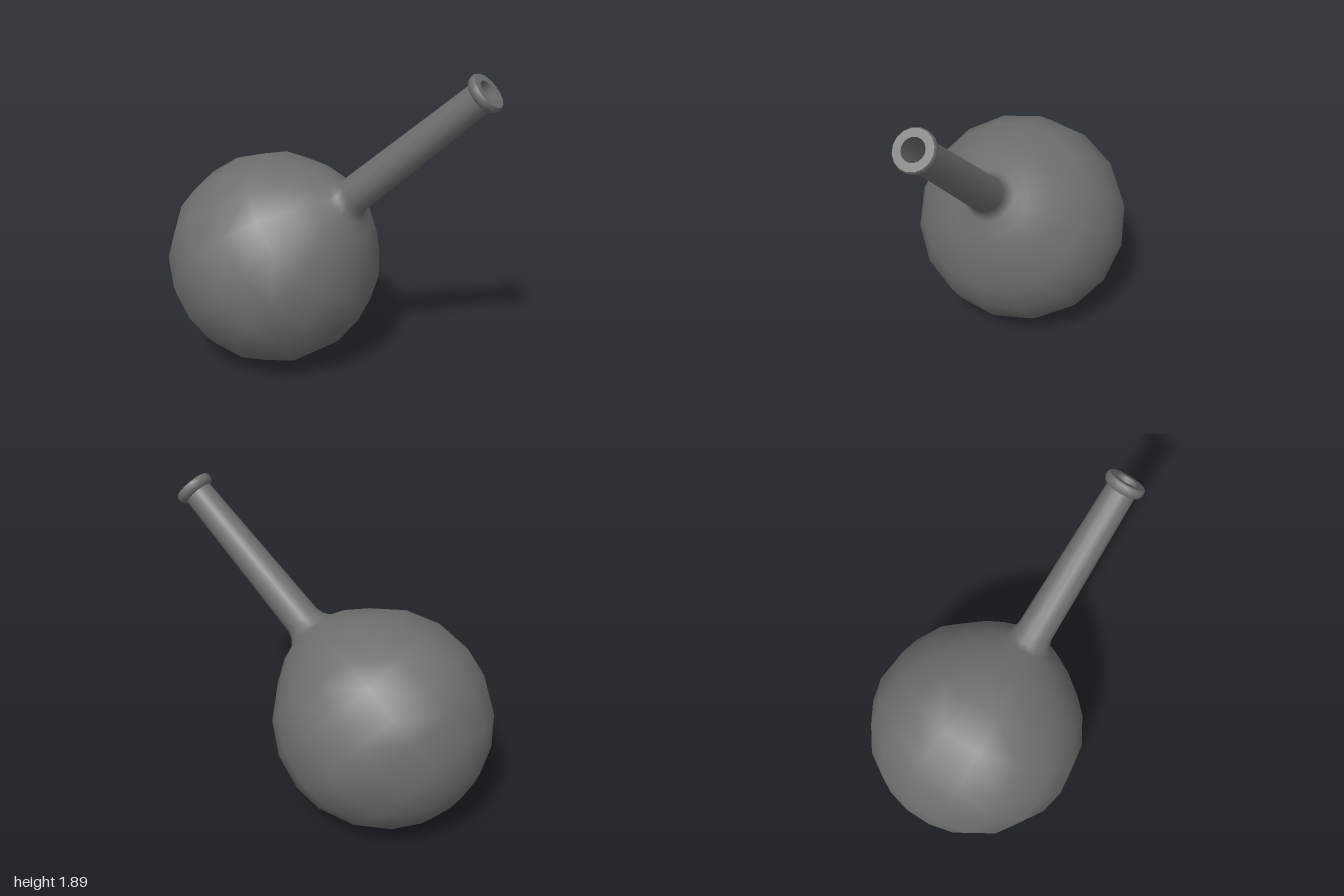
import * as THREE from 'three';

const SIDES = 16;

export function createModel() {
  const model = new THREE.Group();
  const flask = new THREE.Group();
  flask.name = 'roundFlask';
  const material = new THREE.MeshStandardMaterial({ color: 0x6e6e6e });

  // Turned part from [radius, height] pairs, listed upward for outward faces
  const turned = (name, pairs) => {
    const points = pairs.map(([r, h]) => new THREE.Vector2(r, h));
    const mesh = new THREE.Mesh(new THREE.LatheGeometry(points, SIDES), material);
    mesh.name = name;
    flask.add(mesh);
  };

  // Bulb profile, given as angles from the bottom pole
  const bulb = (radius) => [
    [0, -radius],
    ...[9, 22, 38, 55, 75, 90, 109.5, 128, 147.5].map((deg) => {
      const a = THREE.MathUtils.degToRad(deg);
      return [radius * Math.sin(a), -radius * Math.cos(a)];
    }),
  ];

  // Outer wall: bulb, flared joint and tapering neck
  turned('bulbAndNeck', [
    ...bulb(0.643), [0.225, 0.627], [0.148, 0.657], [0.12, 0.69], [0.107, 0.735], [0.085, 1.69],
  ]);

  // Rolled lip around the mouth
  turned('lip', [[0.084, 1.69], [0.104, 1.698], [0.114, 1.718], [0.114, 1.738], [0.107, 1.75]]);
  turned('lipTop', [[0.107, 1.75], [0.063, 1.75]]);

  // Inner wall, listed downward so it faces inward
  turned('innerWall', [...bulb(0.618), [0.2, 0.6], [0.12, 0.64], [0.088, 0.73], [0.063, 1.75]].reverse());

  // Lean the flask toward +x and rest the bulb on the ground
  flask.rotation.z = -THREE.MathUtils.degToRad(47.7);
  flask.position.set(-0.362, 0.643, 0);
  model.add(flask);
  return model;
}
